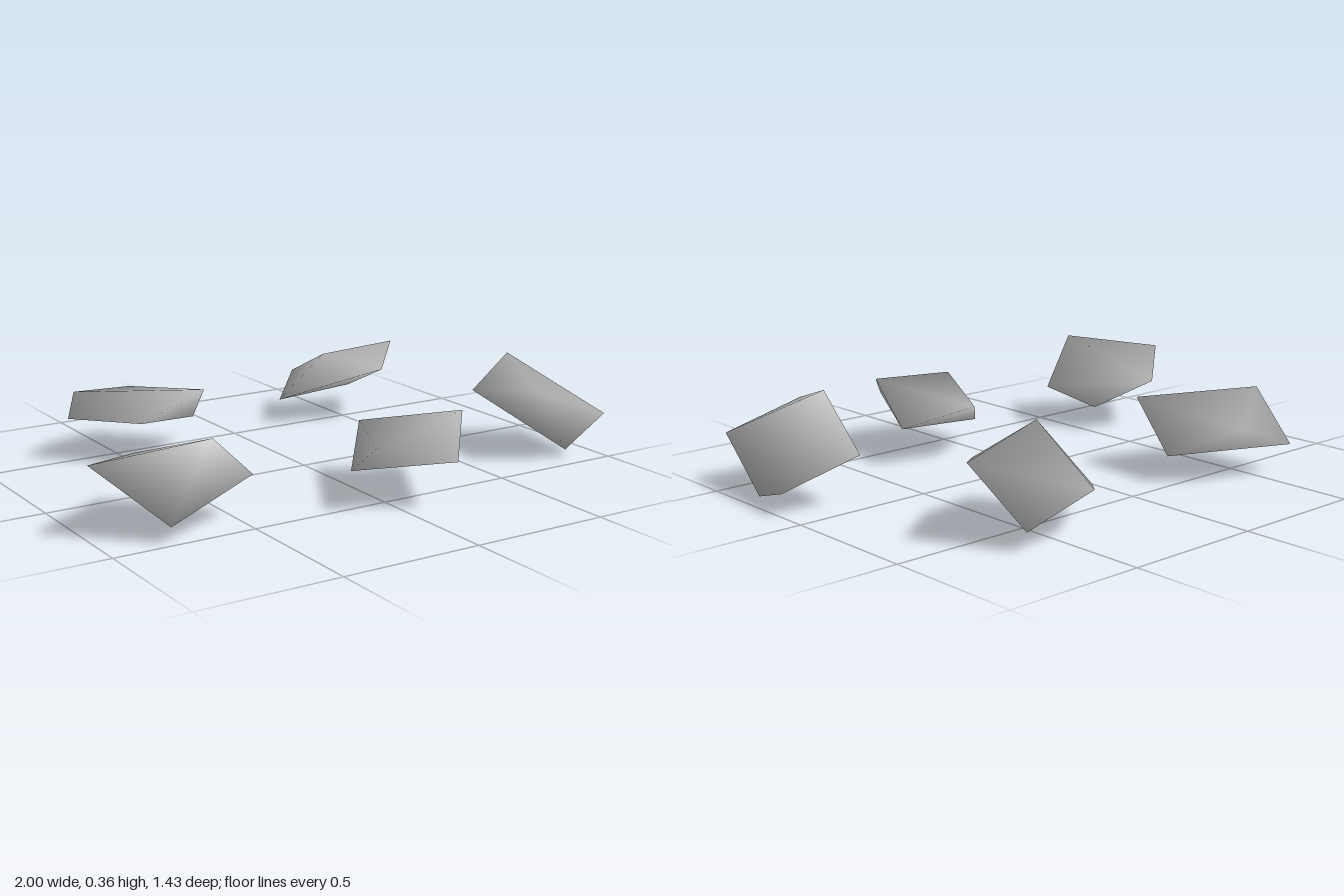
import * as THREE from 'three';
import { ConvexGeometry } from 'three/addons/geometries/ConvexGeometry.js';

const stone = new THREE.MeshStandardMaterial({ color: 0xc4c4c4 });
stone.name = 'stone grey';

// Six-cornered stone, softly rounded by normals that point out from its centre
function rock(name, centre, corners) {
  const geometry = new ConvexGeometry(corners.map(c => new THREE.Vector3(...c)));
  const { position, normal } = geometry.attributes;
  const middle = new THREE.Vector3(...centre);
  const out = new THREE.Vector3();
  for (let i = 0; i < position.count; i++) {
    out.fromBufferAttribute(position, i).sub(middle).normalize();
    normal.setXYZ(i, out.x, out.y, out.z);
  }
  const mesh = new THREE.Mesh(geometry, stone);
  mesh.name = name;
  return mesh;
}

// Skewed octahedron: three corners and their mirror images through the centre
function octahedronRock(name, centre, corners) {
  const opposite = corners.map(c => c.map((v, i) => 2 * centre[i] - v));
  return rock(name, centre, [...corners, ...opposite]);
}

export function createModel() {
  const group = new THREE.Group();
  group.name = 'rocks';
  group.add(
    octahedronRock('frontMiddleRock', [0.12, 0.185, 0.455],
      [[0.14, 0.17, 0.71], [0.35, 0.14, 0.305], [0.302, 0.28, 0.52]]),
    octahedronRock('backRightRock', [-0.435, 0.183, -0.47],
      [[-0.26, 0.26, -0.262], [-0.36, 0.2, -0.67], [-0.19, 0.1, -0.48]]),
    octahedronRock('backLeftRock', [0.488, 0.183, -0.53],
      [[0.4, 0.155, -0.72], [0.655, 0.067, -0.69], [0.753, 0.27, -0.53]]),
    octahedronRock('leftRock', [0.837, 0.182, 0.28],
      [[0.748, 0.18, 0.015], [1, 0.08, 0.1], [0.748, 0.364, 0.21]]),
    // Wedge-shaped stone, less regular than the rest
    rock('frontRightRock', [-0.69, 0.175, 0.34], [
      [-1, 0.25, 0.34], [-0.72, 0.185, 0.095], [-0.525, 0.09, 0.215],
      [-0.455, 0.15, 0.41], [-0.645, 0.318, 0.49], [-0.795, 0.057, 0.49],
    ]),
  );
  return group;
}
